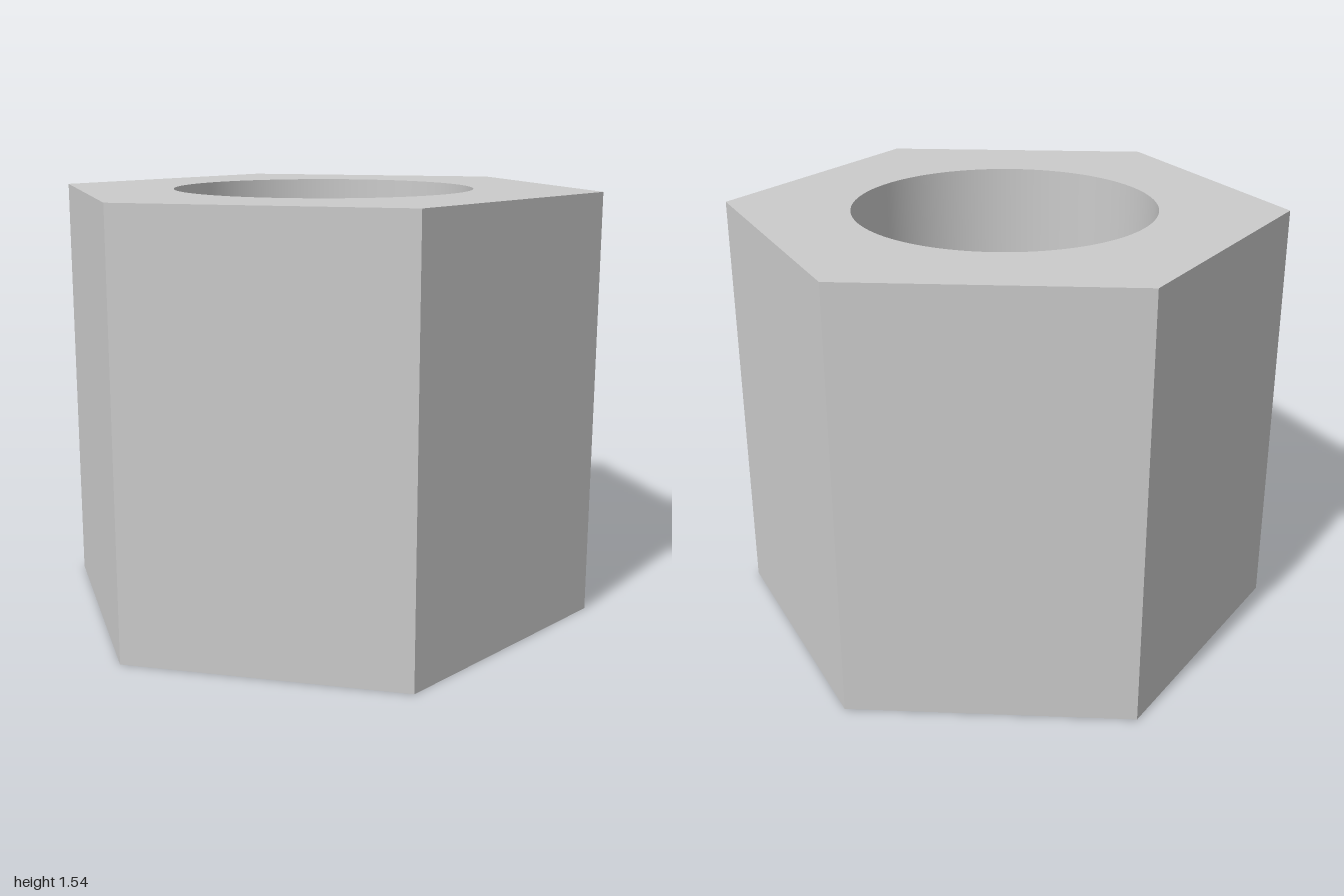
import * as THREE from 'three';
import { toCreasedNormals } from 'three/addons/utils/BufferGeometryUtils.js';

const HEIGHT = 1.54;
const BORE_RADIUS = 0.543;
const TWIST = 0.005; // very slight turn about the vertical axis

export function createModel() {
  const group = new THREE.Group();
  group.name = 'hexNut';

  // Hexagonal outline, corners on the x axis
  const outline = new THREE.Shape(
    Array.from({ length: 6 }, (_, i) => {
      const a = (i * Math.PI) / 3 + TWIST;
      return new THREE.Vector2(Math.cos(a), Math.sin(a));
    })
  );

  // Round through hole
  const bore = new THREE.Path();
  bore.absarc(0, 0, BORE_RADIUS, 0, Math.PI * 2, true);
  outline.holes.push(bore);

  // Extrude upwards; crease the hexagon edges, keep the bore smooth
  const extruded = new THREE.ExtrudeGeometry(outline, {
    depth: HEIGHT,
    bevelEnabled: false,
    curveSegments: 64,
  });
  extruded.rotateX(-Math.PI / 2);

  const body = new THREE.Mesh(
    toCreasedNormals(extruded, Math.PI / 6),
    new THREE.MeshStandardMaterial({ color: 0xcccccc })
  );
  body.name = 'nutBody';
  group.add(body);
  return group;
}
